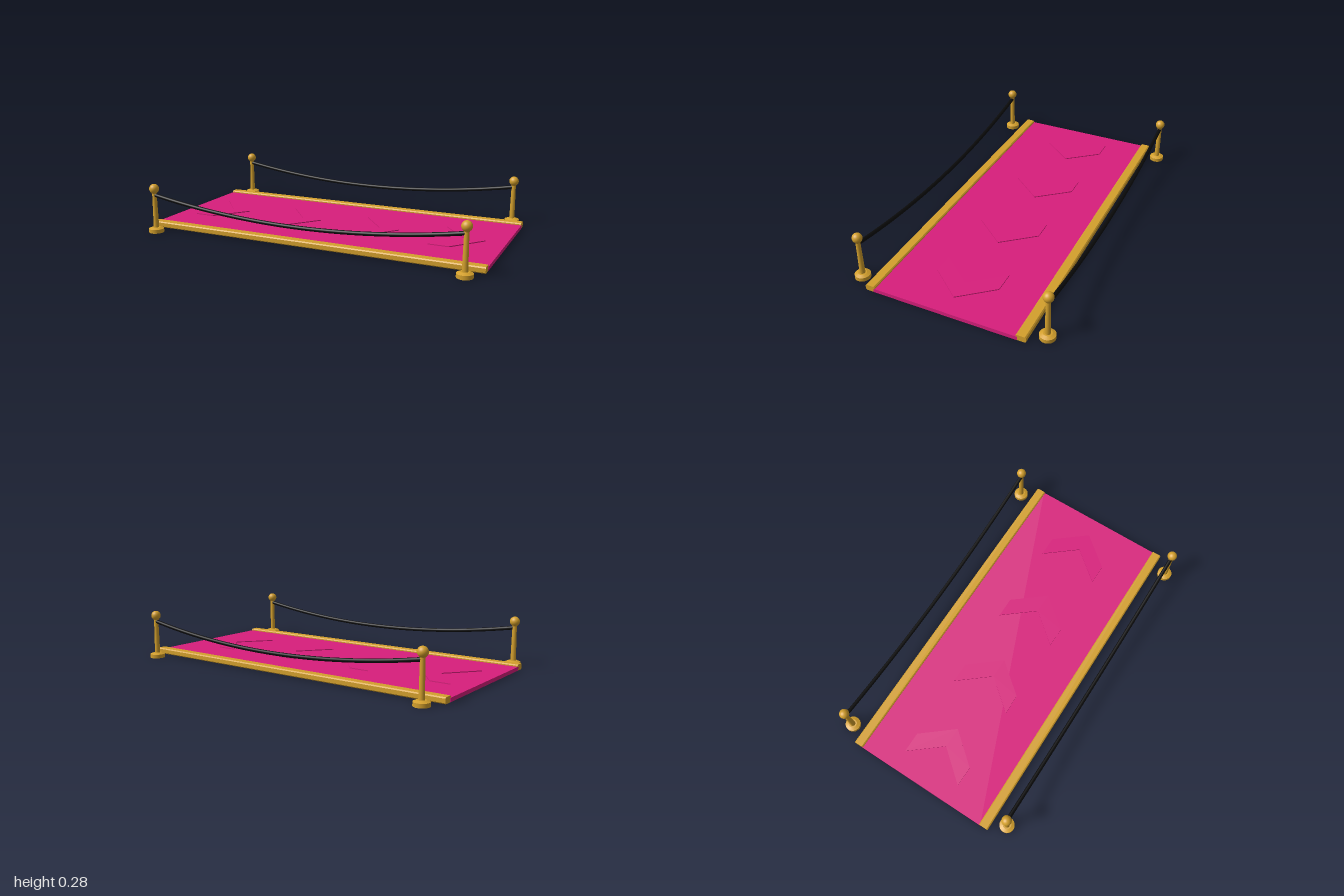
import * as THREE from 'three';

const gold = new THREE.MeshStandardMaterial({ name: 'gold', color: 0xd4a02c });
const magenta = new THREE.MeshStandardMaterial({ name: 'magenta carpet', color: 0xd81e7c });
const black = new THREE.MeshStandardMaterial({ name: 'black rope', color: 0x0a0a0a });

function add(parent, name, geometry, material, x = 0, y = 0, z = 0) {
  const mesh = new THREE.Mesh(geometry, material);
  mesh.name = name;
  mesh.position.set(x, y, z);
  parent.add(mesh);
  return mesh;
}

// Edge rail: a bar with chamfered long edges, running along x
function railGeometry(length, height, depth, c) {
  const w = depth / 2, h = height / 2;
  const shape = new THREE.Shape([
    [-w + c, -h], [w - c, -h], [w, -h + c], [w, h - c],
    [w - c, h], [-w + c, h], [-w, h - c], [-w, -h + c],
  ].map(([x, y]) => new THREE.Vector2(x, y)));
  return new THREE.ExtrudeGeometry(shape, { depth: length, bevelEnabled: false })
    .translate(0, 0, -length / 2).rotateY(Math.PI / 2);
}

// Raised arrow pattern on the carpet, pointing to +x
function chevronGeometry(thickness) {
  const shape = new THREE.Shape([
    [-0.135, -0.183], [-0.015, -0.183], [0.135, 0],
    [-0.015, 0.183], [-0.135, 0.183], [0.015, 0],
  ].map(([x, y]) => new THREE.Vector2(x, y)));
  return new THREE.ExtrudeGeometry(shape, { depth: thickness, bevelEnabled: false })
    .rotateX(-Math.PI / 2);
}

// Post: stepped foot, tapered pole, collar and ball
function createPost() {
  const post = new THREE.Group();
  post.name = 'post';
  add(post, 'foot', new THREE.CylinderGeometry(0.043, 0.043, 0.022, 24), gold, 0, 0.011);
  add(post, 'footTop', new THREE.CylinderGeometry(0.024, 0.043, 0.008, 24), gold, 0, 0.026);
  add(post, 'pole', new THREE.CylinderGeometry(0.0125, 0.0155, 0.21, 20), gold, 0, 0.133);
  add(post, 'collar', new THREE.CylinderGeometry(0.018, 0.0145, 0.008, 20), gold, 0, 0.234);
  add(post, 'ball', new THREE.SphereGeometry(0.028, 24, 16), gold, 0, 0.257);
  return post;
}

export function createModel() {
  const model = new THREE.Group();
  model.name = 'carpetWalkway';

  add(model, 'carpet', new THREE.BoxGeometry(2, 0.022, 0.82), magenta, 0, 0.014);
  const chevron = chevronGeometry(0.006);
  for (let i = 0; i < 4; i++) {
    add(model, 'chevron', chevron, magenta, -0.75 + i * 0.5, 0.0245);
  }

  // Sagging rope
  const points = [];
  for (let i = 0; i <= 16; i++) {
    const t = i / 8 - 1;
    points.push(new THREE.Vector3(t * 0.915, 0.138 + 0.083 * t * t, 0));
  }
  const rope = new THREE.TubeGeometry(new THREE.CatmullRomCurve3(points), 48, 0.011, 10);
  const rail = railGeometry(1.998, 0.034, 0.056, 0.006);

  for (const side of [-1, 1]) {
    add(model, 'edgeRail', rail, gold, 0, 0.02, side * 0.43);
    add(model, 'rope', rope, black, 0, 0, side * 0.535);
    for (const end of [-1, 1]) {
      const post = createPost();
      post.position.set(end * 0.917, 0, side * 0.535);
      model.add(post);
    }
  }
  return model;
}
